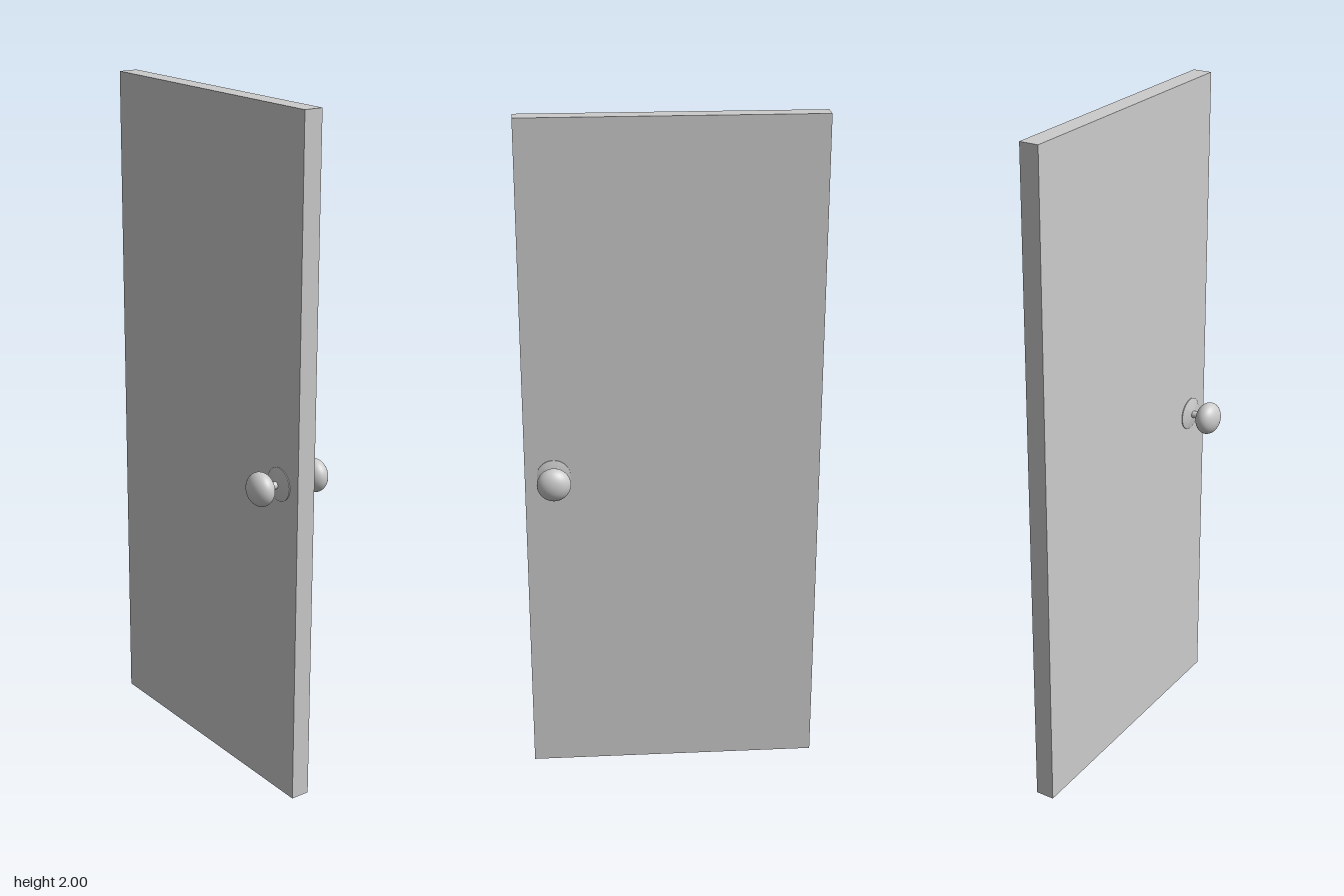
import * as THREE from 'three';
import { toCreasedNormals } from 'three/addons/utils/BufferGeometryUtils.js';

const material = new THREE.MeshStandardMaterial({ color: 0xcccccc });
const HEIGHT = 2, WIDTH = 0.862, HALF_THICKNESS = 0.0285;

function part(name, geometry, y = 0) {
  const mesh = new THREE.Mesh(geometry, material);
  mesh.name = name;
  mesh.position.y = y;
  return mesh;
}

// Knob assembly, built along +y with y = 0 at the middle of the panel
function makeKnob(name) {
  const group = new THREE.Group();
  group.name = name;

  // Backplate: short rim, then a shallow cone up to the stem
  const profile = [[0.049, HALF_THICKNESS - 0.002], [0.049, 0.031], [0.013, 0.041], [0, 0.041]]
    .map(([r, y]) => new THREE.Vector2(r, y));
  group.add(part('backplate', toCreasedNormals(new THREE.LatheGeometry(profile, 48), 0.5)));

  group.add(part('stem', new THREE.CylinderGeometry(0.011, 0.011, 0.03, 32), 0.052));

  // Grip: flattened ball
  const grip = new THREE.SphereGeometry(1, 48, 32).scale(0.049, 0.035, 0.049);
  group.add(part('grip', grip, 0.0935));
  return group;
}

export function createModel() {
  const model = new THREE.Group();
  model.name = 'door';

  // Plain slab
  model.add(part('panel', new THREE.BoxGeometry(HALF_THICKNESS * 2, HEIGHT, WIDTH), HEIGHT / 2));

  // One knob on each face
  for (const side of [1, -1]) {
    const knob = makeKnob(side > 0 ? 'leftKnob' : 'rightKnob');
    knob.rotation.z = -side * Math.PI / 2;
    knob.position.set(0, 0.96, 0.347);
    model.add(knob);
  }
  return model;
}
